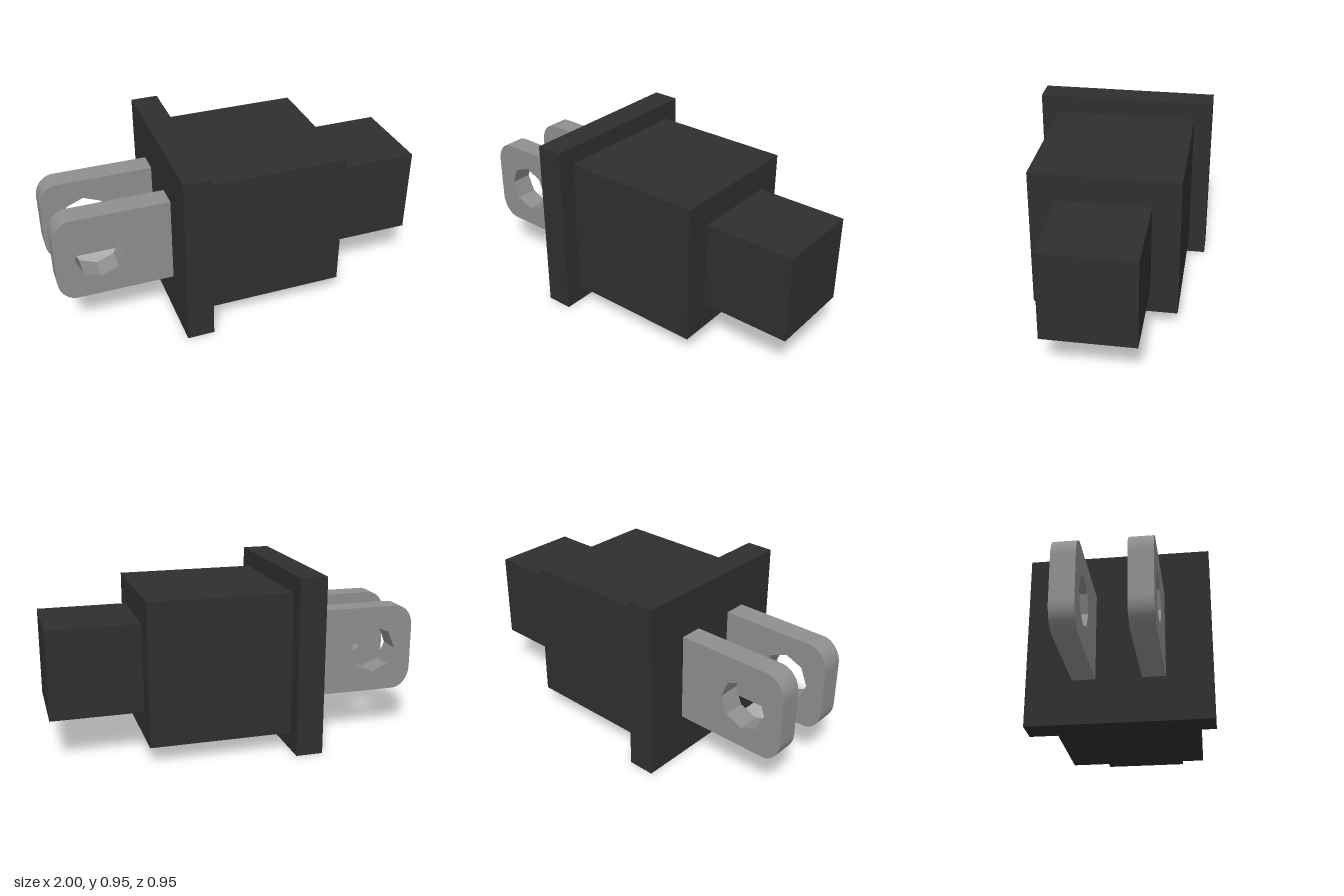
import * as THREE from 'three';

const MID = 0.476; // height of the central axis

export function createModel() {
  const model = new THREE.Group();
  model.name = 'plug';
  const black = new THREE.MeshStandardMaterial({ name: 'black plastic', color: 0x2f2f2f });
  const grey = new THREE.MeshStandardMaterial({ name: 'grey metal', color: 0x8f8f8f, flatShading: true });

  // Square blocks stacked along x
  const block = (name, x0, x1, size) => {
    const mesh = new THREE.Mesh(new THREE.BoxGeometry(x1 - x0, size, size), black);
    mesh.name = name;
    mesh.position.set((x0 + x1) / 2, MID, 0);
    model.add(mesh);
  };
  block('flange', -0.39, -0.245, 0.952);
  block('body', -0.245, 0.515, 0.762);
  block('cableEnd', 0.515, 1, 0.475);

  // Prong outline with two rounded outer corners
  const h = 0.238, rx = 0.1, ry = 0.12;
  const outline = new THREE.Shape();
  outline.moveTo(-0.38, -h);
  outline.lineTo(-0.38, h);
  outline.lineTo(-1 + rx, h);
  outline.absellipse(-1 + rx, h - ry, rx, ry, Math.PI / 2, Math.PI, false);
  outline.lineTo(-1, -h + ry);
  outline.absellipse(-1 + rx, -h + ry, rx, ry, Math.PI, Math.PI * 1.5, false);
  outline.closePath();

  // Octagonal hole
  const corners = [];
  for (let i = 0; i < 8; i++) {
    const a = (-i * Math.PI) / 4;
    corners.push(new THREE.Vector2(-0.77 + 0.13 * Math.cos(a), 0.13 * Math.sin(a)));
  }
  outline.holes.push(new THREE.Path(corners).closePath());

  const prongGeometry = new THREE.ExtrudeGeometry(outline, { depth: 0.12, bevelEnabled: false, curveSegments: 8 });
  prongGeometry.translate(0, 0, -0.06);
  for (const [name, z] of [['frontProng', 0.178], ['backProng', -0.178]]) {
    const prong = new THREE.Mesh(prongGeometry, grey);
    prong.name = name;
    prong.position.set(0, MID, z);
    model.add(prong);
  }
  return model;
}
